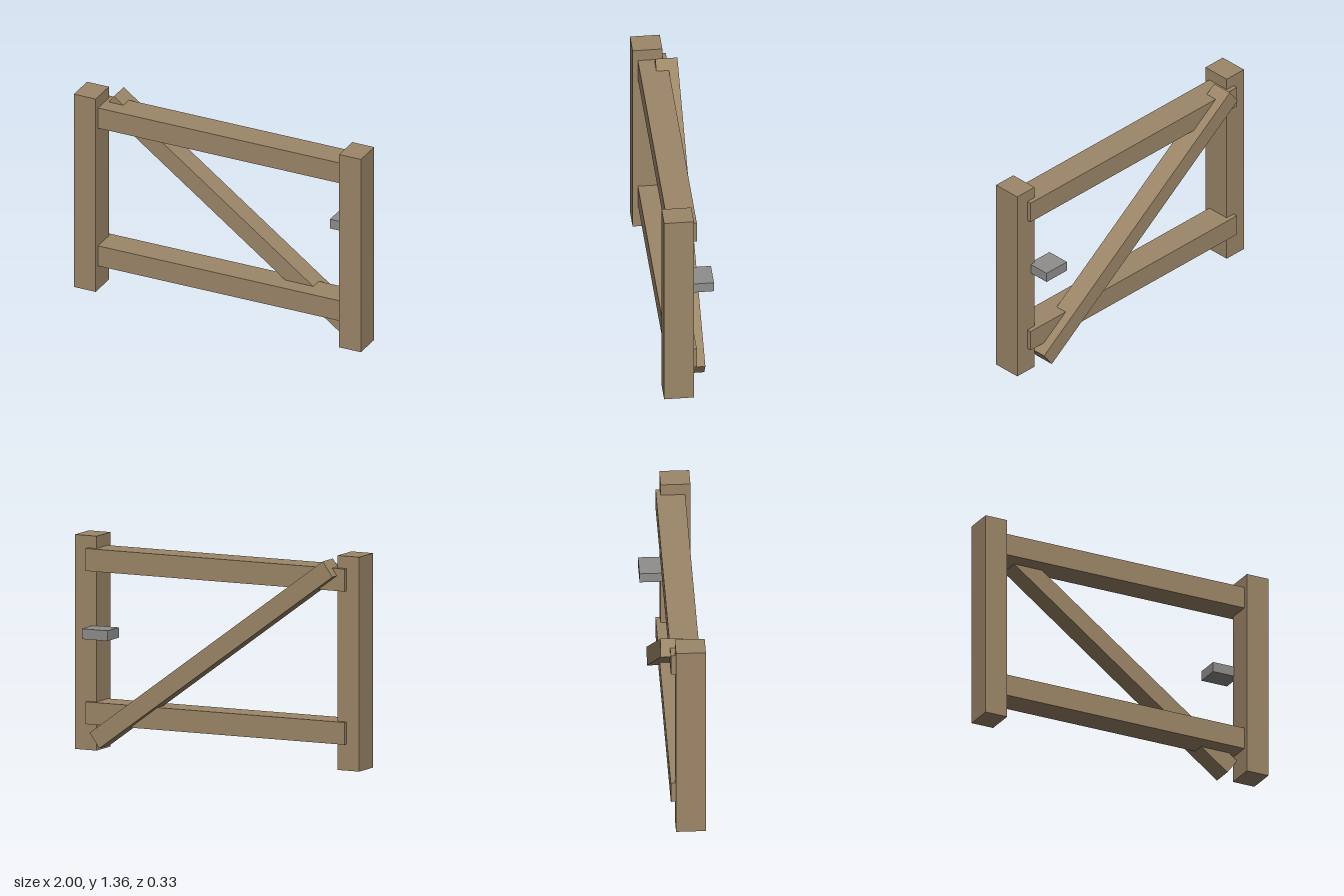
import * as THREE from 'three';

export function createModel() {
  const gate = new THREE.Group();
  gate.name = 'fenceGate';

  const wood = new THREE.MeshStandardMaterial({ name: 'wood', color: 0x9c8668 });
  const metal = new THREE.MeshStandardMaterial({ name: 'greyMetal', color: 0x8f8e8c });

  // Box given by its lower and upper limits on each axis
  function addBox(name, material, [x0, x1], [y0, y1], [z0, z1]) {
    const mesh = new THREE.Mesh(new THREE.BoxGeometry(x1 - x0, y1 - y0, z1 - z0), material);
    mesh.position.set((x0 + x1) / 2, (y0 + y1) / 2, (z0 + z1) / 2);
    mesh.name = name;
    gate.add(mesh);
    return mesh;
  }

  // Upright posts
  addBox('leftPost', wood, [0.848, 1], [0, 1.355], [-0.024, 0.163]);
  addBox('rightPost', wood, [-1, -0.848], [0, 1.355], [-0.024, 0.163]);

  // Horizontal rails, poking slightly out behind the posts
  addBox('topRail', wood, [-0.91, 0.91], [1.135, 1.277], [-0.052, 0.13]);
  addBox('bottomRail', wood, [-0.91, 0.91], [0.167, 0.308], [-0.052, 0.13]);

  // Diagonal brace, sunk into the back of the rails
  const brace = addBox('diagonalBrace', wood, [-1.016, 1.016], [0.62, 0.736], [-0.112, 0.027]);
  brace.position.x = -0.003;
  brace.rotation.z = -Math.atan2(1.2, 1.64);

  // Latch block on the back of the left post
  addBox('latch', metal, [0.7, 0.88], [0.722, 0.787], [-0.163, -0.008]);

  return gate;
}
